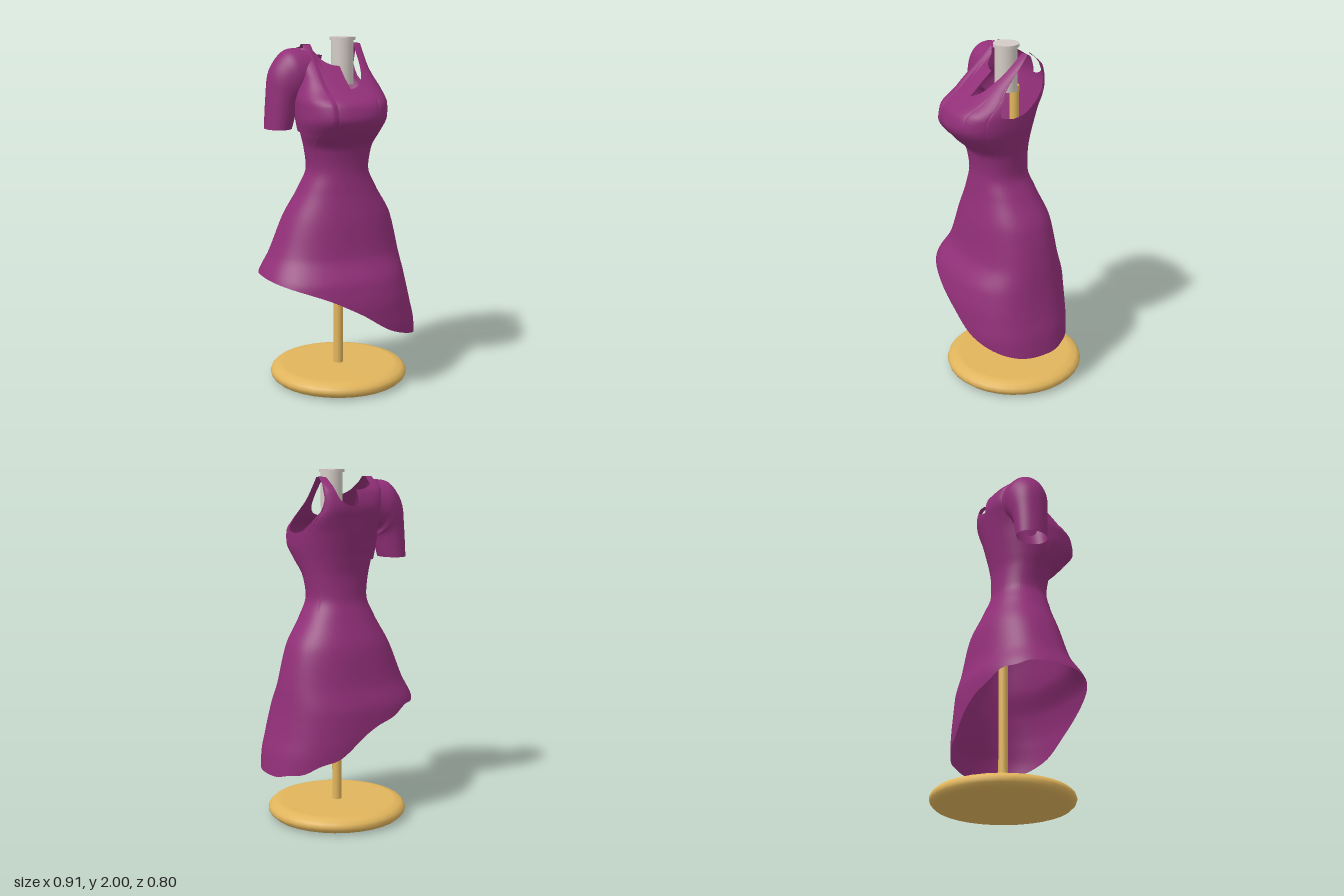
import * as THREE from 'three';

const DEG = Math.PI / 180;
const fabric = new THREE.MeshStandardMaterial({ color: 0x912f78, side: THREE.DoubleSide });
const gold = new THREE.MeshStandardMaterial({ color: 0xe0b45c });
const pale = new THREE.MeshStandardMaterial({ color: 0xd3cbc5 });

// Body sections: height, right x, left x, front z, back z, squareness
const SECTIONS = [
  [0.28, -0.47, 0.455, 0.385, -0.24, 2.5],
  [0.40, -0.47, 0.44, 0.40, -0.25, 2.5],
  [0.50, -0.47, 0.415, 0.40, -0.255, 2.5],
  [0.65, -0.46, 0.385, 0.375, -0.25, 2.5],
  [0.80, -0.39, 0.362, 0.30, -0.21, 2.4],
  [1.00, -0.31, 0.315, 0.27, -0.175, 2.3],
  [1.17, -0.22, 0.217, 0.24, -0.11, 2.3],
  [1.28, -0.182, 0.17, 0.23, -0.075, 2.2],
  [1.40, -0.20, 0.185, 0.245, -0.07, 2.2],
  [1.48, -0.225, 0.205, 0.32, -0.08, 2.3],
  [1.58, -0.245, 0.23, 0.39, -0.10, 2.4],
  [1.65, -0.245, 0.235, 0.375, -0.115, 2.5],
  [1.725, -0.23, 0.225, 0.27, -0.13, 3],
  [1.80, -0.205, 0.19, 0.18, -0.143, 4],
  [1.88, -0.20, 0.185, 0.09, -0.125, 4],
  [1.96, -0.195, 0.185, 0.005, -0.03, 4],
];

// Edge curves; the angle runs from 0 at the side to 90 at the centre line
const HEM = [[-0.46, 0.685], [-0.2, 0.6], [0, 0.5], [0.2, 0.375], [0.455, 0.285]];
const ARMHOLE = [[0, 1.645], [12, 1.66], [22, 1.72], [29, 1.82], [33, 1.96], [62, 1.96]];
const FRONT_NECK = [...ARMHOLE, [66, 1.87], [73, 1.81], [84, 1.75], [90, 1.73]];
const BACK_NECK = [...ARMHOLE, [66, 1.88], [76, 1.83], [90, 1.80]];
const JACKET_FRONT = [[0, 1.93], [58, 1.945], [66, 1.92], [75, 1.88], [90, 1.845]];
const JACKET_BACK = [[0, 1.93], [58, 1.945], [70, 1.92], [90, 1.89]];

// Smooth interpolation in a table whose first column is the key
function sample(table, key, col = 1) {
  const last = table.length - 1;
  if (key <= table[0][0]) return table[0][col];
  if (key >= table[last][0]) return table[last][col];
  let i = 0;
  while (table[i + 1][0] < key) i++;
  const slope = (a, b) => (table[b][col] - table[a][col]) / (table[b][0] - table[a][0]);
  const tangent = (k) => {
    if (k === 0 || k === last) return slope(Math.max(k - 1, 0), Math.min(k + 1, last));
    const s = slope(k - 1, k), r = slope(k, k + 1);
    return s * r <= 0 ? 0 : (2 * s * r) / (s + r);
  };
  const h = table[i + 1][0] - table[i][0];
  const t = (key - table[i][0]) / h, t2 = t * t, t3 = t2 * t;
  return (2 * t3 - 3 * t2 + 1) * table[i][col] + (t3 - 2 * t2 + t) * h * tangent(i)
    + (3 * t2 - 2 * t3) * table[i + 1][col] + (t3 - t2) * h * tangent(i + 1);
}

// Point on the body at an angle around it and a height, pushed out by a gap
function bodyPoint(angle, y, gap = 0) {
  const [xr, xl, zf, zb, n] = [1, 2, 3, 4, 5].map((c) => sample(SECTIONS, y, c));
  const power = (v) => Math.sign(v) * Math.abs(v) ** (2 / n);
  return [
    (xr + xl) / 2 + ((xl - xr) / 2 + gap) * power(Math.cos(angle)), y,
    (zf + zb) / 2 + ((zf - zb) / 2 + gap) * power(Math.sin(angle)),
  ];
}

// Angle away from the nearest side, 0 to 90
const fold = (angle) => Math.asin(Math.min(1, Math.abs(Math.sin(angle)))) / DEG;

// Surface over a grid: u goes round, v goes along
function surface(name, nu, nv, closed, pointAt) {
  const positions = [], index = [];
  const cols = closed ? nu : nu + 1;
  for (let j = 0; j <= nv; j++)
    for (let i = 0; i < cols; i++) positions.push(...pointAt(i / nu, j / nv));
  for (let j = 0; j < nv; j++)
    for (let i = 0; i < nu; i++) {
      const a = j * cols + i, b = j * cols + ((i + 1) % cols);
      index.push(a, a + cols, b, b, a + cols, b + cols);
    }
  const geometry = new THREE.BufferGeometry();
  geometry.setAttribute('position', new THREE.Float32BufferAttribute(positions, 3));
  geometry.setIndex(index);
  geometry.computeVertexNormals();
  const mesh = new THREE.Mesh(geometry, fabric);
  mesh.name = name;
  return mesh;
}

// Dress with slanted hem, scooped neckline, armholes and straps in one skin
function createDress() {
  return surface('dress', 240, 72, true, (u, v) => {
    const angle = u * Math.PI * 2;
    const back = Math.max(0, -Math.sin(angle));
    let hem = 0.5;
    for (let k = 0; k < 10; k++) hem = (hem + sample(HEM, bodyPoint(angle, hem)[0])) / 2;
    hem += back * (0.015 + 0.01 * Math.sin(angle * 11));
    const top = sample(Math.sin(angle) >= 0 ? FRONT_NECK : BACK_NECK, fold(angle));
    return bodyPoint(angle, hem + (top - hem) * v);
  });
}

// Half jacket over the right shoulder, tucked under the dress at the chest
function createJacket() {
  return surface('halfJacket', 120, 30, false, (u, v) => {
    const angle = (0.5 + u) * Math.PI;
    const front = Math.sin(angle) >= 0;
    const side = fold(angle);
    const gap = front ? 0.014 - 0.026 * THREE.MathUtils.smoothstep(side, 58, 72) : 0.012;
    const top = sample(front ? JACKET_FRONT : JACKET_BACK, side);
    return bodyPoint(angle, 1.49 + (top - 1.49) * v, gap);
  });
}

// Short sleeve: ring centre x, y, z, radius, depth, tilt
function createSleeve() {
  const rings = [
    [0, -0.16, 1.80, -0.01, 0.14, 0.125, 90],
    [1, -0.23, 1.79, -0.01, 0.15, 0.13, 105],
    [2, -0.27, 1.74, -0.015, 0.14, 0.12, 125],
    [3, -0.295, 1.66, -0.02, 0.095, 0.105, 160],
    [4, -0.32, 1.50, -0.025, 0.075, 0.095, 180],
  ];
  return surface('sleeve', 48, 24, true, (u, v) => {
    const [x, y, z, r, depth, tilt] = [1, 2, 3, 4, 5, 6].map((c) => sample(rings, v * 4, c));
    const across = r * Math.cos(u * Math.PI * 2);
    return [x + across * Math.cos(tilt * DEG), y + across * Math.sin(tilt * DEG),
      z + depth * Math.sin(u * Math.PI * 2)];
  });
}

function cylinder(name, radius, bottom, top, z, material) {
  const mesh = new THREE.Mesh(new THREE.CylinderGeometry(radius, radius, top - bottom, 32), material);
  mesh.position.set(0.038, (bottom + top) / 2, z);
  mesh.name = name;
  return mesh;
}

// Round foot with a soft rim, and the pole
function createStand() {
  const stand = new THREE.Group();
  stand.name = 'stand';
  const profile = [[0, 0.005], [0.33, 0.005], [0.345, 0.006], [0.378, 0.015], [0.396, 0.032], [0.402, 0.05],
    [0.396, 0.068], [0.378, 0.085], [0.345, 0.094], [0.33, 0.095], [0, 0.095]];
  const foot = new THREE.Mesh(
    new THREE.LatheGeometry(profile.map(([r, y]) => new THREE.Vector2(r, y - 0.005)), 32), gold);
  foot.position.x = 0.038;
  foot.name = 'foot';
  stand.add(foot, cylinder('pole', 0.027, 0.08, 1.76, 0, gold));
  return stand;
}

// Neck post with its cap
function createNeck() {
  const neck = new THREE.Group();
  neck.name = 'neck';
  neck.add(cylinder('neckPost', 0.062, 1.74, 1.985, 0.052, pale),
    cylinder('neckCap', 0.071, 1.983, 2.0, 0.052, pale));
  return neck;
}

export function createModel() {
  const model = new THREE.Group();
  model.name = 'dressOnStand';
  model.add(createStand(), createNeck(), createDress(), createJacket(), createSleeve());
  return model;
}
